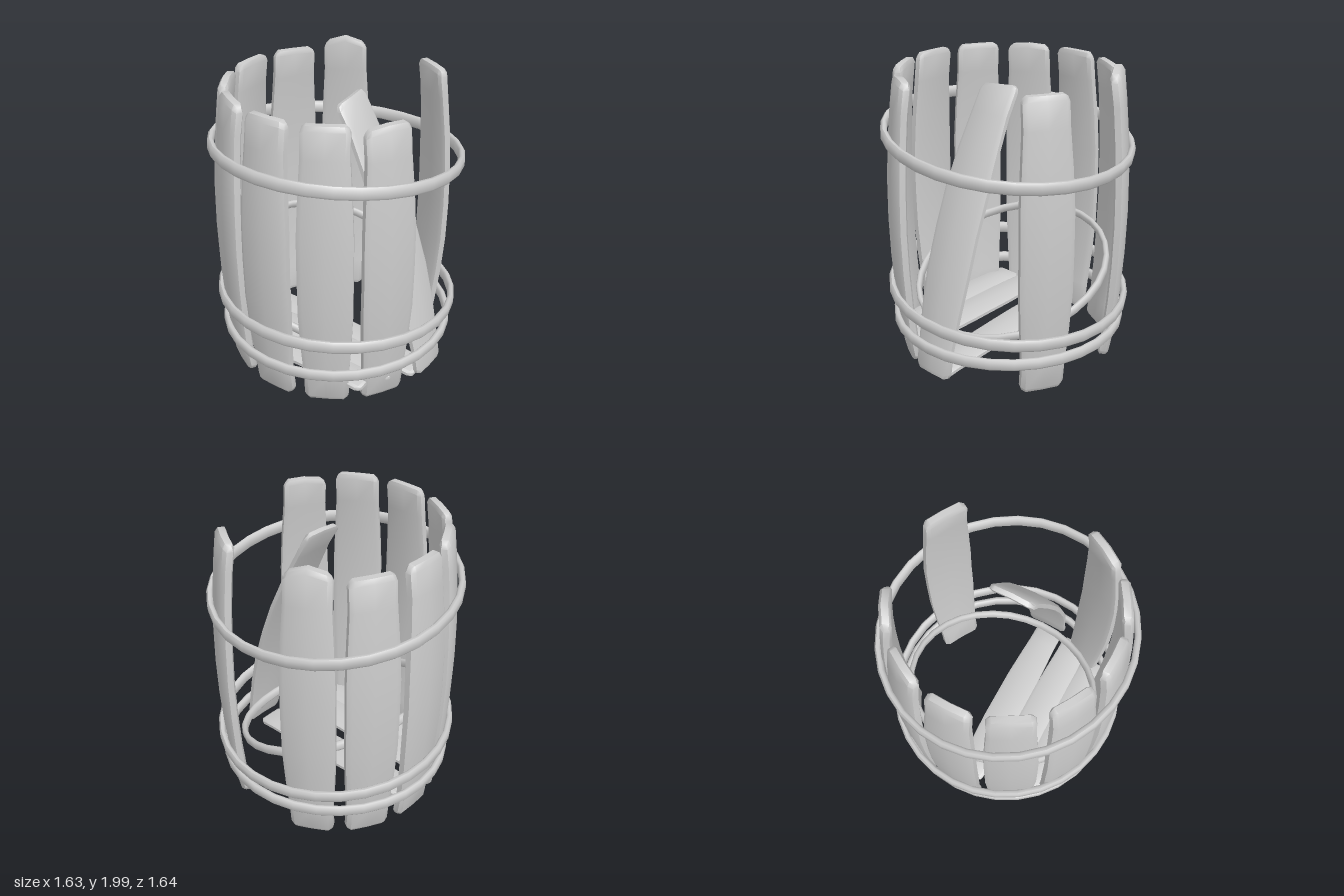
import * as THREE from 'three';
import { toCreasedNormals } from 'three/addons/utils/BufferGeometryUtils.js';

const mat = new THREE.MeshStandardMaterial({ color: 0xcccccc });

// Rounded plank, length along y, wider and bowed towards +z in the middle.
// slope skews the top end, peak raises its middle.
function plankGeometry({ w, wEnd, h, t, bulge, slope = 0, peak = 0 }) {
  const cols = [-1, -0.82, 0, 0.82, 1];
  const rows = [-1, -0.97, -0.8, -0.55, -0.28, 0, 0.28, 0.55, 0.8, 0.97, 1];
  const g = new THREE.BoxGeometry(1, 1, 1, cols.length - 1, rows.length - 1, 1);
  const p = g.attributes.position;
  for (let i = 0; i < p.count; i++) {
    const u = cols[Math.round((p.getX(i) + 0.5) * (cols.length - 1))];
    const v = rows[Math.round((p.getY(i) + 0.5) * (rows.length - 1))];
    const side = Math.abs(u) === 1, end = Math.abs(v) === 1;
    const blend = THREE.MathUtils.smoothstep(Math.abs(v), 0.3, 0.85);
    const width = THREE.MathUtils.lerp(w, wEnd, blend) * (end ? 0.93 : 1);
    const x = u * width / 2;
    let y = v * h / 2;
    if (side && Math.abs(v) > 0.9) y -= Math.sign(v) * 0.015;
    if (v > 0.9) y += slope * x + peak * (1 - Math.abs(u));
    const thick = t * (side ? 0.55 : 1) * (end ? 0.6 : 1);
    p.setXYZ(i, x, y, p.getZ(i) * thick + bulge * (1 - v * v) - x * x * 0.35);
  }
  return toCreasedNormals(g, 0.8);
}

function addPlank(parent, name, options) {
  const mesh = new THREE.Mesh(plankGeometry(options), mat);
  mesh.name = name;
  parent.add(mesh);
  return mesh;
}

// Flat band with softened edges
function addHoop(parent, name, radius, height, thick) {
  const a = thick / 2, b = height / 2;
  const profile = [[-a, -b * 0.7], [-a * 0.4, -b], [a * 0.4, -b], [a, -b * 0.6], [a, b * 0.6],
    [a * 0.4, b], [-a * 0.4, b], [-a, b * 0.7], [-a, -b * 0.7]]
    .map(([x, y]) => new THREE.Vector2(radius + x, y));
  const g = toCreasedNormals(new THREE.LatheGeometry(profile, 32), 0.9);
  const mesh = new THREE.Mesh(g, mat);
  mesh.name = name;
  parent.add(mesh);
  return mesh;
}

export function createModel() {
  const barrel = new THREE.Group();
  barrel.name = 'brokenBarrel';

  // Standing staves: angle from the front, top height, skew and peak of the top end
  const staves = [
    [60, 1.95, 0, 0], [120, 1.96, 0.02, 0.04], [150, 1.93, 0.03, 0],
    [180, 1.94, 0, 0], [210, 1.94, 0, 0.01], [240, 1.95, 0, 0],
    [270, 1.95, 0, 0], [300, 1.95, 0, 0], [330, 1.92, 0.06, 0.01],
  ];
  const bottom = 0.01;
  for (const [deg, top, slope, peak] of staves) {
    const a = THREE.MathUtils.degToRad(deg);
    const s = addPlank(barrel, 'stave',
      { w: 0.34, wEnd: 0.285, h: top - bottom, t: 0.07, bulge: 0.07, slope, peak });
    s.position.set(Math.sin(a) * 0.685, (top + bottom) / 2, Math.cos(a) * 0.685);
    s.rotation.y = a;
  }

  // Loose stave that has fallen inwards
  const loose = addPlank(barrel, 'fallenStave',
    { w: 0.35, wEnd: 0.29, h: 1.91, t: 0.05, bulge: 0.09, slope: 0.1 });
  loose.position.set(0.015, 0.96, 0.42);
  loose.rotation.x = -0.35;

  // Floor boards: x, y, z, width, length, tilt
  const boards = [
    [-0.465, 0.15, 0.02, 0.22, 1.1, 0],
    [-0.265, 0.15, 0.02, 0.235, 1.28, 0],
    [-0.02, 0.07, 0.03, 0.235, 1.34, 0.06],
  ];
  for (const [x, y, z, w, h, tilt] of boards) {
    const b = addPlank(barrel, 'floorBoard', { w, wEnd: w * 0.87, h, t: 0.04, bulge: 0.01 });
    b.position.set(x, y, z);
    b.rotation.x = -Math.PI / 2 + tilt;
  }

  // Hoops around the staves
  const upper = addHoop(barrel, 'upperHoop', 0.8, 0.08, 0.04);
  upper.position.y = 1.51;
  upper.rotation.z = -0.121;
  const lower = addHoop(barrel, 'lowerHoop', 0.795, 0.08, 0.04);
  lower.position.y = 0.45;
  lower.rotation.z = -0.078;
  const base = addHoop(barrel, 'baseHoop', 0.77, 0.075, 0.04);
  base.position.y = 0.255;

  // Hoop that has dropped inside and leans on the back
  const dropped = addHoop(barrel, 'droppedHoop', 0.66, 0.06, 0.035);
  dropped.position.set(0.01, 0.55, -0.02);
  dropped.rotation.x = 0.36;
  return barrel;
}
